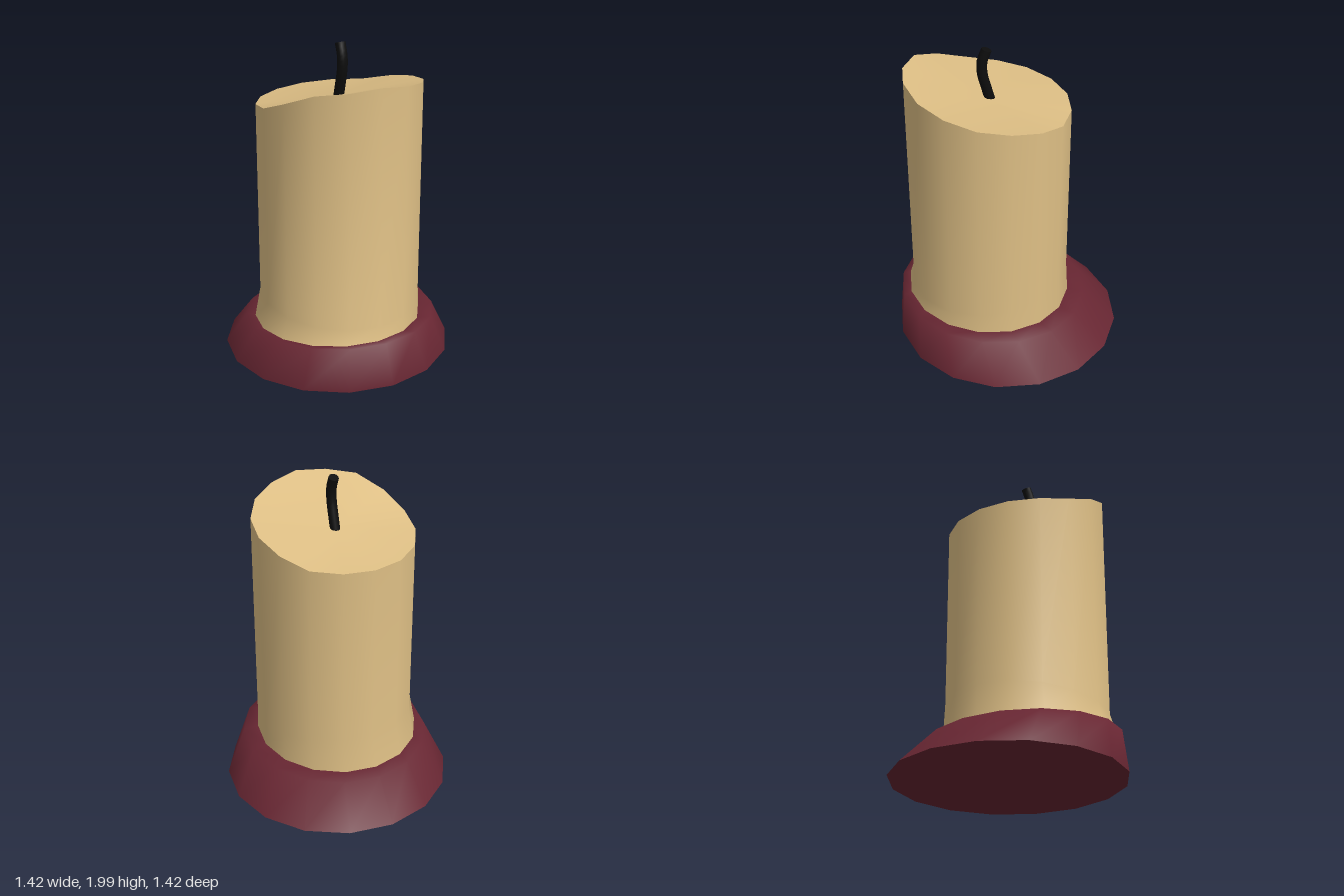
import * as THREE from 'three';
import { toCreasedNormals } from 'three/addons/utils/BufferGeometryUtils.js';

const SIDES = 16;

// Ring of points around (cx, cz); height is a function of (index, z)
function ring(cx, cz, r, height) {
  return Array.from({ length: SIDES }, (_, i) => {
    const a = (i / SIDES) * Math.PI * 2;
    const z = cz + r * Math.sin(a);
    return [cx + r * Math.cos(a), height(i, z), z];
  });
}

// Skin over rings listed from bottom to top, closed by fans at both ends
function loft(rings, bottom, top, crease) {
  const n = rings[0].length;
  const index = [];
  const o = rings.length * n;
  for (let j = 0; j < n; j++) {
    const k = (j + 1) % n;
    for (let i = 0; i < rings.length - 1; i++) {
      const a = i * n + j, b = i * n + k;
      index.push(a, a + n, b, b, a + n, b + n);
    }
    index.push(o, j, k, o + 1, o - n + k, o - n + j);
  }
  const geometry = new THREE.BufferGeometry();
  const points = [...rings.flat(), bottom, top].flat();
  geometry.setAttribute('position', new THREE.Float32BufferAttribute(points, 3));
  geometry.setIndex(index);
  return toCreasedNormals(geometry, crease);
}

export function createModel() {
  const group = new THREE.Group();
  group.name = 'candle';
  const material = (name, color) => {
    const m = new THREE.MeshStandardMaterial({ color });
    m.name = name;
    return m;
  };
  const add = (name, geometry, mat) => {
    const mesh = new THREE.Mesh(geometry, mat);
    mesh.name = name;
    group.add(mesh);
  };

  // Holder: wide round foot leaning forward to a tilted rim
  const tilt = (i, z) => 0.243 + 0.055 * z;
  add('holder', loft([
    ring(0, 0, 0.708, () => 0),
    ring(-0.03, 0.09, 0.586, tilt),
    ring(-0.058, 0.11, 0.505, tilt),
  ], [0, 0, 0], [-0.058, 0.249, 0.11], 1.6), material('burgundy', 0x672632));

  // Wax: flared foot, straight body, uneven melted rim with a shallow dish
  const rim = [1.71, 1.745, 1.785, 1.815, 1.845, 1.83, 1.81, 1.735,
    1.66, 1.625, 1.608, 1.6, 1.6, 1.605, 1.615, 1.665];
  add('wax', loft([
    ring(-0.058, 0.11, 0.515, (i, z) => tilt(i, z) - 0.005),
    ring(-0.04, 0.109, 0.495, (i, z) => 0.41 - 0.1 * (z - 0.11)),
    ring(-0.04, 0.109, 0.495, (i) => rim[i]),
  ], [-0.058, 0.24, 0.11], [-0.04, 1.665, 0.109], 1.0), material('cream wax', 0xdebf85));

  // Wick: thin bent cord rising from the dish
  const path = new THREE.CatmullRomCurve3([
    [1.62, 0.085], [1.74, 0.117], [1.83, 0.138], [1.91, 0.138], [1.983, 0.111],
  ].map(([y, z]) => new THREE.Vector3(-0.04, y, z)));
  const cord = [];
  for (let i = 0; i <= 12; i++) {
    const p = path.getPoint(i / 12), t = path.getTangent(i / 12);
    cord.push(Array.from({ length: 10 }, (_, j) => {
      const a = (j / 10) * Math.PI * 2, s = 0.031 * Math.sin(a);
      return [p.x + 0.031 * Math.cos(a), p.y - t.z * s, p.z + t.y * s];
    }));
  }
  add('wick', loft(cord, path.getPoint(0).toArray(), path.getPoint(1).toArray(), 1.0),
    material('charred black', 0x0d0d0d));

  return group;
}
